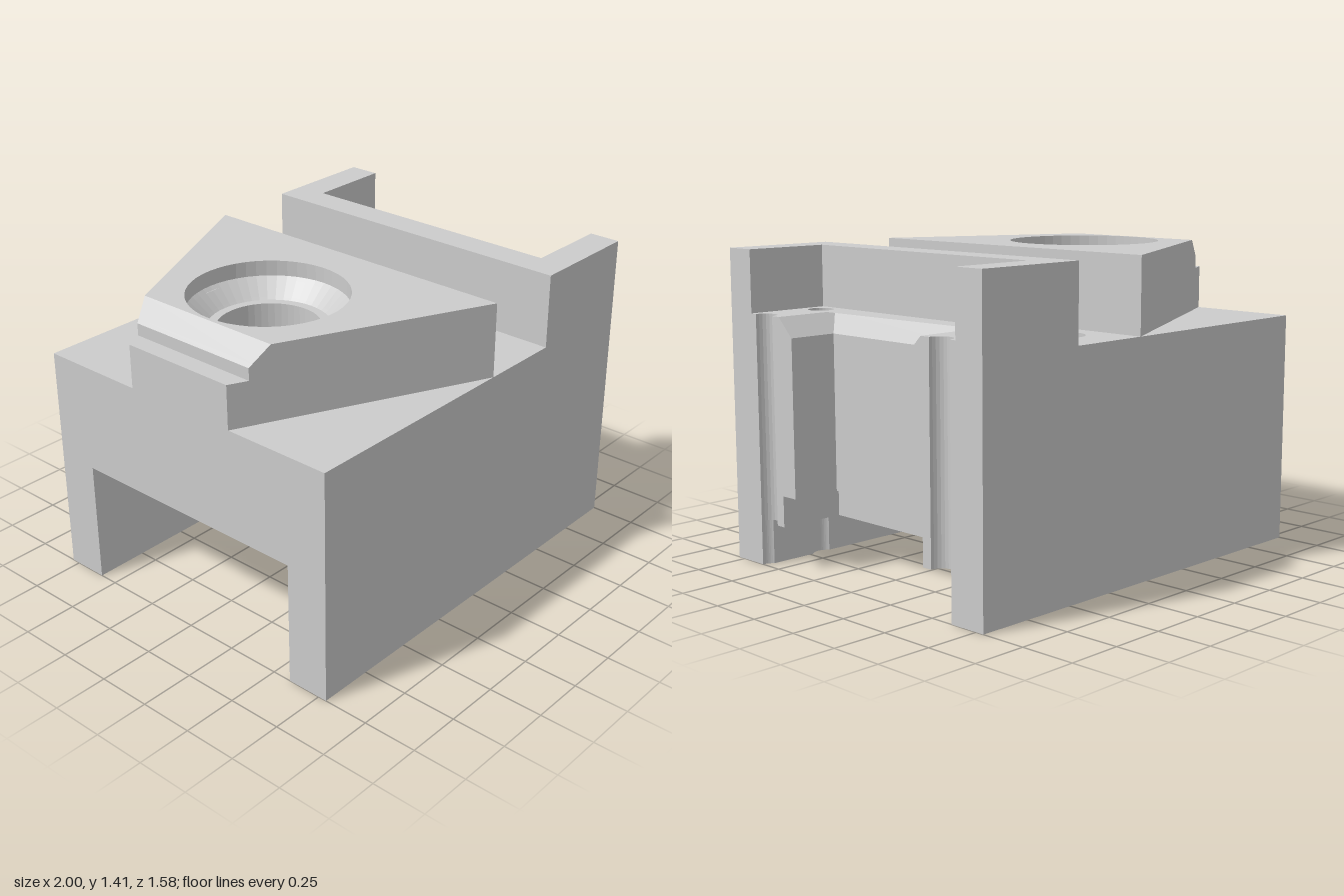
import * as THREE from 'three';

const material = new THREE.MeshStandardMaterial({ color: 0xcccccc, flatShading: true });
const V = (p) => new THREE.Vector2(p[0], p[1]);

// Points on an arc in plan (x, z)
function arc(cx, cz, r, a0, a1, n) {
  return Array.from({ length: n + 1 }, (_, i) => {
    const a = a0 + ((a1 - a0) * i) / n;
    return [cx + r * Math.cos(a), cz + r * Math.sin(a)];
  });
}
const circle = (cx, cz, r, n = 48) => arc(cx, cz, r, 0, 2 * Math.PI, n).slice(0, n);
const slot = (cx, r, half) => [
  ...arc(cx, half - r, r, 0, Math.PI, 16),
  ...arc(cx, r - half, r, Math.PI, 2 * Math.PI, 16),
];

// Solid layer between two plans with matching points; plan = [outline, ...holes]
function layer(group, name, y0, y1, lower, upper = lower) {
  const flips = lower.map((l, i) => THREE.ShapeUtils.isClockWise(l.map(V)) === (i === 0));
  const orient = (plan) => plan.map((l, i) => (flips[i] ? [...l].reverse() : l));
  const lo = orient(lower), hi = orient(upper);
  const pos = [];
  const put = (p, y) => pos.push(p[0], y, p[1]);
  // side walls
  lo.forEach((loop, k) => loop.forEach((a, i) => {
    const j = (i + 1) % loop.length;
    const b = loop[j], a1 = hi[k][i], b1 = hi[k][j];
    put(a, y0); put(a1, y1); put(b1, y1);
    put(a, y0); put(b1, y1); put(b, y0);
  }));
  // bottom and top caps
  const flatLo = lo.flat(), flatHi = hi.flat();
  const tris = THREE.ShapeUtils.triangulateShape(lo[0].map(V), lo.slice(1).map((h) => h.map(V)));
  for (const t of tris) {
    const ccw = !THREE.ShapeUtils.isClockWise(t.map((i) => V(flatLo[i])));
    const [a, b, c] = ccw ? t : [t[0], t[2], t[1]];
    put(flatLo[a], y0); put(flatLo[b], y0); put(flatLo[c], y0);
    put(flatHi[a], y1); put(flatHi[c], y1); put(flatHi[b], y1);
  }
  const g = new THREE.BufferGeometry();
  g.setAttribute('position', new THREE.Float32BufferAttribute(pos, 3));
  g.computeVertexNormals();
  const mesh = new THREE.Mesh(g, material);
  mesh.name = name;
  group.add(mesh);
}

const W = 0.79, CH = 0.59;                      // half width, half channel width
const PIN = { x: 0.685, z: 0.555, r: 0.058 };   // vertical pin holes
const BORE = -0.465;                            // x of the large bore

// Left ends of the body plan, listed from +z to -z
const fullEnd = [[-1, W], [-1, -W]];
const channelEnd = [[-1, W], [-1, CH], [0.33, CH], [0.33, -CH], [-1, -CH], [-1, -W]];
const tallEnd = [[0.46, W], [0.46, -W]];

// Body outline with an open pocket on the right end, and half pin holes at its edge
function outline(end, xp, zp, notched = true) {
  const notch = (s) =>
    notched ? arc(1, s * PIN.z, PIN.r, -Math.PI / 2, -1.5 * Math.PI, 12) : [];
  return [...end, [1, -W], ...notch(-1), [1, -zp], [xp, -zp], [xp, zp], [1, zp], ...notch(1), [1, W]];
}
const pins = [1, -1].map((s) => circle(PIN.x, s * PIN.z, PIN.r, 24));

// Tapered wedge outline cut off at x0
function wedge(x0) {
  const z = 0.28 + ((x0 + 1) / 1.07) * (W - 0.28);
  return [[0.07, W], [x0, z], [x0, -z], [0.07, -W]];
}

export function createModel() {
  const model = new THREE.Group();
  model.name = 'fixtureBlock';
  const body = new THREE.Group();
  body.name = 'body';
  const clamp = new THREE.Group();
  clamp.name = 'wedgeTop';
  const tall = new THREE.Group();
  tall.name = 'pocketWall';
  model.add(body, clamp, tall);

  // Lower legs, grooved where the pin holes break through
  const q = Math.asin((CH - PIN.z) / PIN.r);
  for (const s of [1, -1]) {
    const leg = [
      [1, W], [-1, W], [-1, CH],
      ...arc(PIN.x, PIN.z, PIN.r, Math.PI - q, q, 14),
      ...arc(1, PIN.z, PIN.r, Math.PI - q, Math.PI / 2, 7),
    ].map(([x, z]) => [x, s * z]);
    layer(body, 'sideLeg', 0, 0.2, [leg]);
  }

  // Channel walls joined to the pocket block
  layer(body, 'pocketFoot', 0.2, 0.34, [outline(channelEnd, 0.69, 0.45), ...pins]);
  layer(body, 'channelWalls', 0.34, 0.57, [outline(channelEnd, 0.77, 0.365), ...pins]);

  // Deck with underside recess, bore and stepped slot
  const deck = outline(fullEnd, 0.77, 0.365);
  const bore = circle(BORE, 0, 0.225);
  const innerSlot = slot(0.265, 0.07, 0.42), outerSlot = slot(0.265, 0.113, 0.62);
  layer(body, 'recessLayer', 0.57, 0.74, [deck, ...pins, circle(BORE, 0, 0.42)]);
  layer(body, 'deckCore', 0.74, 0.8, [deck, ...pins, bore]);
  layer(body, 'innerSlotLayer', 0.8, 0.95, [deck, ...pins, bore, innerSlot]);
  layer(body, 'outerSlotLayer', 0.95, 1.045, [deck, ...pins, bore, outerSlot]);
  layer(body, 'deckTop', 1.045, 1.07, [deck, ...pins, bore, outerSlot],
    [outline(fullEnd, 0.746, 0.39), ...pins, bore, outerSlot]);

  // Tall wall: rest of the pocket chamfer, then the wide upper pocket
  layer(tall, 'chamferLedge', 1.07, 1.13, [outline(tallEnd, 0.746, 0.39), ...pins],
    [outline(tallEnd, 0.69, 0.45), ...pins]);
  layer(tall, 'upperPocket', 1.13, 1.41, [outline(tallEnd, 0.6, 0.645, false)]);

  // Wedge: [y, nose x below, nose x above, bore radius below, bore radius above]
  const levels = [
    [1.07, -1, -1, 0.225, 0.225],
    [1.26, -1, -1, 0.225, 0.265],
    [1.27, -1, -0.915, 0.276, 0.276],
    [1.325, -0.915, -0.915, 0.334, 0.334],
    [1.34, -0.9, -0.9, 0.35, 0.35],
    [1.41, -0.83, -0.83, 0.35, 0.35],
  ];
  for (let i = 0; i + 1 < levels.length; i++) {
    const a = levels[i], b = levels[i + 1];
    layer(clamp, 'wedgeLayer', a[0], b[0],
      [wedge(a[2]), circle(BORE, 0, a[4])], [wedge(b[1]), circle(BORE, 0, b[3])]);
  }
  return model;
}
